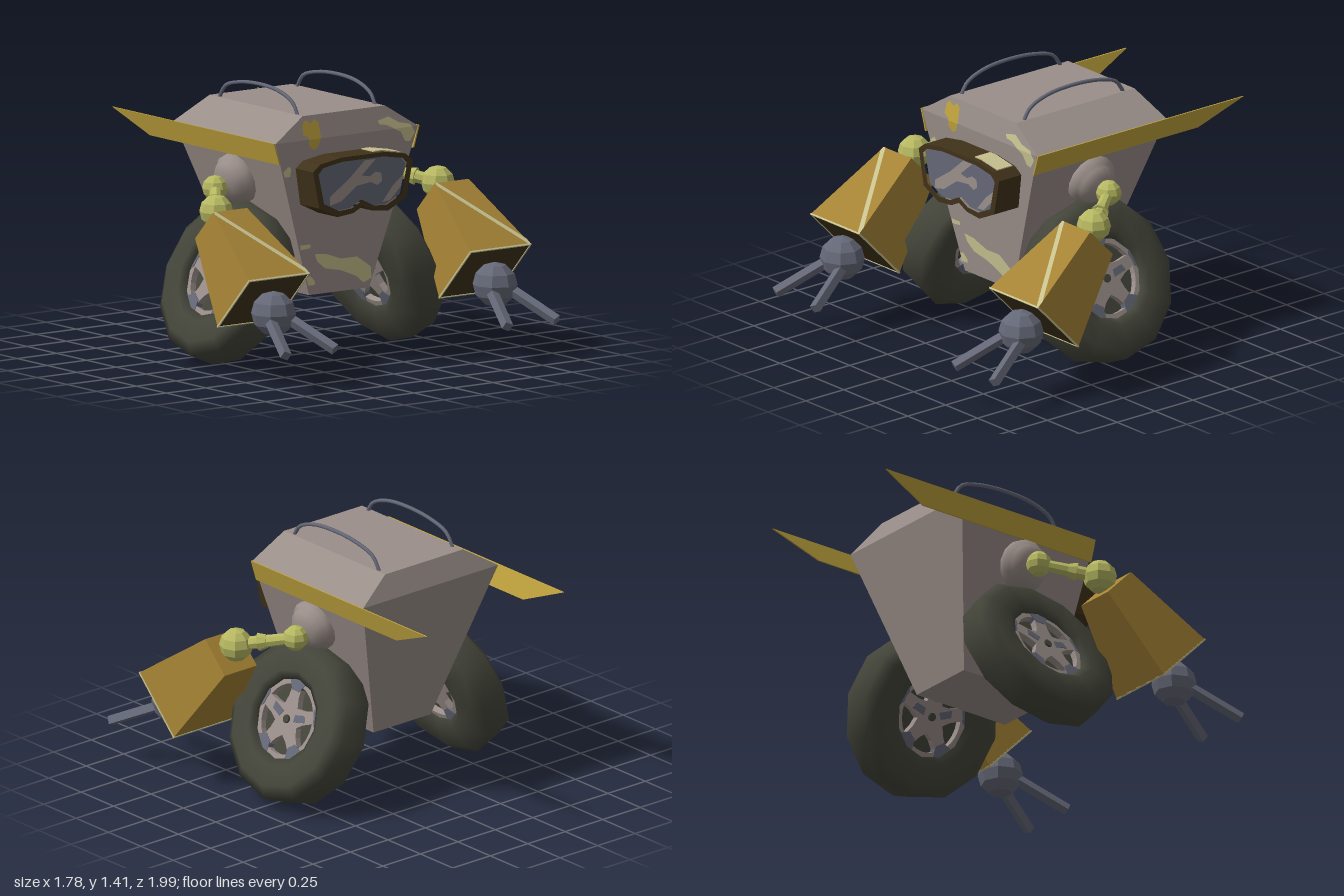
import * as THREE from 'three';
import { ConvexGeometry } from 'three/addons/geometries/ConvexGeometry.js';

const material = (name, color) => {
  const m = new THREE.MeshStandardMaterial({ color });
  m.name = name;
  return m;
};
const V = (x, y, z) => new THREE.Vector3(x, y, z);
const P = (list) => list.map(([x, y]) => new THREE.Vector2(x, y));

export function createModel() {
  const mauve = material('mauve grey', 0x9a8e89);
  const slate = material('slate blue', 0x656877);
  const ochre = material('ochre', 0xa48235);
  const gold = material('gold', 0xbea23d);
  const olive = material('olive green', 0xb6b861);
  const cream = material('cream', 0xc6c08e);
  const rubber = material('tyre green', 0x44453a);
  const brown = material('dark brown', 0x40321a);

  const model = new THREE.Group();
  model.name = 'rover';
  const add = (parent, name, geo, mat) => {
    const mesh = new THREE.Mesh(geo, mat);
    mesh.name = name;
    parent.add(mesh);
    return mesh;
  };
  const flat = (geo) => {
    const g = geo.index ? geo.toNonIndexed() : geo;
    g.computeVertexNormals();
    return g;
  };
  // tapered rod between two points
  const rod = (parent, name, a, b, ra, rb, sides, mat) => {
    const m = add(parent, name, flat(new THREE.CylinderGeometry(rb, ra, a.distanceTo(b), sides)), mat);
    m.position.copy(a).lerp(b, 0.5);
    m.quaternion.setFromUnitVectors(V(0, 1, 0), b.clone().sub(a).normalize());
  };
  const ball = (parent, name, r, at, mat) => {
    add(parent, name, flat(new THREE.SphereGeometry(r, 8, 6)), mat).position.copy(at);
  };
  // painted patch laid on a surface z = zAt(y)
  const decal = (parent, name, pts, mat, zAt) => {
    const g = new THREE.ShapeGeometry(new THREE.Shape(P(pts)));
    const p = g.attributes.position;
    for (let i = 0; i < p.count; i++) p.setZ(i, zAt(p.getY(i)));
    add(parent, name, flat(g), mat);
  };
  // part of a polygon above (side 1) or below (side -1) a level
  const cut = (pts, y, side) => pts.flatMap((a, i) => {
    const b = pts[(i + 1) % pts.length];
    const da = (a[1] - y) * side, db = (b[1] - y) * side;
    const out = da >= 0 ? [a] : [];
    if (da * db < 0) out.push([a[0] + (b[0] - a[0]) * da / (da - db), y]);
    return out;
  });

  // Body: three rectangular sections joined
  const corners = [];
  for (const [y, x, front, back] of [[0.36, 0.19, 0.29, -0.28], [1.17, 0.45, 0.355, -0.5], [1.29, 0.26, 0.33, -0.45]])
    for (const s of [-1, 1]) corners.push(V(s * x, y, front), V(s * x, y, back));
  add(model, 'body', new ConvexGeometry(corners), mauve);

  // Worn paint on the body front
  const front = (y) => 0.359 - (y > 1.17 ? (y - 1.17) * 0.208 : (1.17 - y) * 0.08);
  const patches = [
    [gold, [[-0.27, 1.25], [-0.25, 1.27], [-0.22, 1.25], [-0.19, 1.27], [-0.17, 1.25], [-0.165, 1.18], [-0.18, 1.13], [-0.21, 1.115], [-0.24, 1.14], [-0.24, 1.18], [-0.275, 1.2]]],
    [cream, [[0.2, 1.22], [0.27, 1.235], [0.33, 1.2], [0.4, 1.185], [0.43, 1.14], [0.4, 1.095], [0.37, 1.1], [0.34, 1.15], [0.25, 1.195], [0.21, 1.2]]],
    [cream, [[-0.17, 0.57], [-0.1, 0.565], [0, 0.53], [0.1, 0.53], [0.19, 0.47], [0.2, 0.41], [0.15, 0.39], [0.1, 0.43], [0, 0.47], [-0.1, 0.49], [-0.15, 0.53]]],
    [cream, [[-0.26, 0.6], [-0.2, 0.605], [-0.2, 0.625], [-0.265, 0.625]]],
    [cream, [[-0.2, 0.41], [-0.16, 0.41], [-0.16, 0.43], [-0.19, 0.46], [-0.215, 0.45]]],
    [cream, [[-0.385, 0.99], [-0.35, 0.99], [-0.345, 1.03], [-0.36, 1.045], [-0.395, 1.02]]],
  ];
  for (const [mat, pts] of patches)
    for (const side of [-1, 1]) {
      const piece = cut(pts, 1.17, side);
      if (piece.length > 2) decal(model, 'paintPatch', piece, mat, front);
    }

  // Goggles: deep frame, recessed lens and camouflage bands
  const mirror = (half) => half.concat(half.slice(0, -1).reverse().map(([x, y]) => [-x, y]));
  const outer = mirror([[0.14, 1.087], [0.27, 1.065], [0.315, 1.03], [0.275, 0.84], [0.16, 0.785], [0.06, 0.795], [0, 0.825]]);
  const inner = mirror([[0.13, 1.065], [0.25, 1.045], [0.28, 1.015], [0.245, 0.86], [0.15, 0.815], [0.07, 0.82], [0, 0.855]]);
  const frame = new THREE.Shape(P(outer));
  frame.holes.push(new THREE.Path(P(inner)));
  add(model, 'goggleFrame', new THREE.ExtrudeGeometry(frame, { depth: 0.19, bevelEnabled: false }), brown).position.z = 0.3;
  decal(model, 'lens', inner, slate, () => 0.475);
  decal(model, 'lensBand', [[-0.2, 0.845], [-0.13, 0.86], [-0.03, 0.93], [0.06, 0.94], [0.1, 0.92], [0.13, 0.94], [0.125, 0.98], [0.09, 0.99], [0.05, 0.97], [0, 0.98], [0.09, 1.055], [0.02, 1.055], [-0.08, 0.97], [-0.2, 0.89]], mauve, () => 0.479);
  decal(model, 'lensBand', [[0.13, 0.83], [0.18, 0.835], [0.25, 0.9], [0.265, 0.96], [0.2, 0.91]], mauve, () => 0.479);
  const chip = new THREE.Shape(P([[0.09, 1.087], [0.14, 1.087], [0.265, 1.066], [0.265, 1.071], [0.14, 1.093], [0.09, 1.093]]));
  add(model, 'gogglePaint', new THREE.ExtrudeGeometry(chip, { depth: 0.1, bevelEnabled: false }), cream).position.z = 0.36;

  // Axle between the wheels
  rod(model, 'axle', V(-0.41, 0.49, -0.02), V(0.41, 0.49, -0.02), 0.035, 0.035, 10, mauve);

  const tyreProfile = P([[0.21, -0.09], [0.25, -0.115], [0.36, -0.115], [0.42, -0.075], [0.42, 0.075], [0.36, 0.115], [0.25, 0.115], [0.21, 0.09], [0.21, -0.09]]);
  const domeProfile = P([[0.12, -0.03], [0.135, 0], [0.135, 0.035], [0.115, 0.045], [0.11, 0.07], [0.075, 0.105], [0, 0.12]]);
  const slab = (shape, depth) => {
    const g = new THREE.ExtrudeGeometry(shape, { depth, bevelEnabled: false, curveSegments: 8 });
    return g.translate(0, 0, -depth / 2).rotateX(-Math.PI / 2);
  };
  const polar = (r, a) => [r * Math.cos(a), r * Math.sin(a)];

  for (const s of [-1, 1]) {
    const side = new THREE.Group();
    side.name = s > 0 ? 'leftSide' : 'rightSide';
    model.add(side);

    // Grab rail on the roof
    const rail = new THREE.CatmullRomCurve3([[1.28, 0.27], [1.34, 0.23], [1.385, 0.12], [1.4, -0.05], [1.385, -0.23], [1.35, -0.34], [1.28, -0.39]].map(([y, z]) => V(s * 0.245, y, z)));
    add(side, 'roofRail', new THREE.TubeGeometry(rail, 24, 0.01, 6), slate);

    // Swept side fin
    const fin = [];
    for (const [y, z, x] of [[1.172, 0.355, 0.453], [1.172, -1, 0.453], [1.06, -0.73, 0.418], [1.06, 0.355, 0.418]])
      fin.push(V(s * x, y, z), V(s * (x + 0.008), y, z));
    add(side, 'sideFin', new ConvexGeometry(fin), gold);

    // Leaning wheel
    const wheel = new THREE.Group();
    wheel.name = 'wheel';
    wheel.position.set(s * 0.468, 0.417, -0.025);
    wheel.rotation.z = -s * THREE.MathUtils.degToRad(67);
    side.add(wheel);
    add(wheel, 'tyre', new THREE.LatheGeometry(tyreProfile, 12), rubber);
    add(wheel, 'wheelCore', new THREE.CylinderGeometry(0.215, 0.215, 0.1, 16), rubber);
    add(wheel, 'hubBolt', new THREE.CylinderGeometry(0.022, 0.022, 0.19, 8), rubber);
    const hub = new THREE.Shape().absarc(0, 0, 0.218, 0, Math.PI * 2);
    const start = s > 0 ? 0 : Math.PI;
    for (let i = 0; i < 5; i++) {
      const a = start + i * Math.PI * 0.4;
      const hole = [-0.45, -0.22, 0, 0.22, 0.45].map((d) => polar(0.182, a + d));
      hole.push(polar(0.12, a + 0.32), polar(0.085, a), polar(0.12, a - 0.32));
      hub.holes.push(new THREE.Path(P(hole)));
      // camouflage patches on rim and spokes
      const b = a + Math.PI * 0.2;
      const rim = [-0.3, 0, 0.3].map((d) => polar(0.215, b + d)).concat([0.3, 0, -0.3].map((d) => polar(i % 2 ? 0.19 : 0.15, b + d * 0.55)));
      add(wheel, 'hubPaint', slab(new THREE.Shape(P(rim)), 0.176), slate);
      const spoke = [polar(0.05, b - 0.4), polar(0.13, b - 0.2), polar(0.12, b + 0.1), polar(0.06, b + 0.3)];
      if (i % 2) add(wheel, 'spokePaint', slab(new THREE.Shape(P(spoke)), 0.176), slate);
    }
    add(wheel, 'hub', slab(hub, 0.17), mauve);

    // Shoulder dome and jointed upper arm
    const dome = add(side, 'shoulder', new THREE.LatheGeometry(domeProfile, 14), mauve);
    dome.position.set(s * 0.372, 0.935, -0.055);
    dome.rotation.z = -s * THREE.MathUtils.degToRad(107.8);
    const a = V(s * 0.52, 0.895, -0.06), b = V(s * 0.7, 0.83, 0.19);
    const along = (t) => a.clone().lerp(b, t);
    ball(side, 'upperJoint', 0.066, a, olive);
    rod(side, 'upperArm', along(0.1), along(0.62), 0.03, 0.033, 8, olive);
    rod(side, 'armCollar', along(0.48), along(0.62), 0.035, 0.048, 8, olive);
    rod(side, 'armNeck', along(0.6), b, 0.034, 0.034, 8, olive);
    ball(side, 'elbow', 0.087, b, olive);

    // Forearm: square flared box with trim and a diagonal stripe
    const forearm = new THREE.Group();
    forearm.name = 'forearm';
    forearm.position.set(s * 0.7, 0.6025, 0.4075);
    forearm.rotation.x = -0.8;
    side.add(forearm);
    const box = new THREE.CylinderGeometry(0.152, 0.269, 0.495, 4).rotateY(Math.PI / 4);
    add(forearm, 'forearmBox', flat(box), [ochre, ochre, brown]);
    const trim = new THREE.Shape(P([[-0.192, -0.192], [0.192, -0.192], [0.192, 0.192], [-0.192, 0.192]]));
    trim.holes.push(new THREE.Path(P([[-0.184, -0.184], [0.184, -0.184], [0.184, 0.184], [-0.184, 0.184]])));
    add(forearm, 'forearmTrim', slab(trim, 0.009), cream).position.y = -0.2465;
    decal(forearm, 'forearmStripe', [[-0.108, 0.225], [-0.108, 0.247], [-0.092, 0.247], [0.187, -0.208], [0.19, -0.247], [0.178, -0.247]], cream,
      (y) => 0.1515 - y * 0.167);

    // Hand: ball with two prongs
    ball(side, 'hand', 0.115, V(s * 0.7, 0.375, 0.67), slate);
    for (const f of [-1, 1])
      rod(side, 'finger', V(s * 0.7 + f * 0.05, 0.36, 0.7), V(s * 0.7 + f * 0.155, 0.217, 0.98), 0.03, 0.03, 4, slate);
  }
  return model;
}
